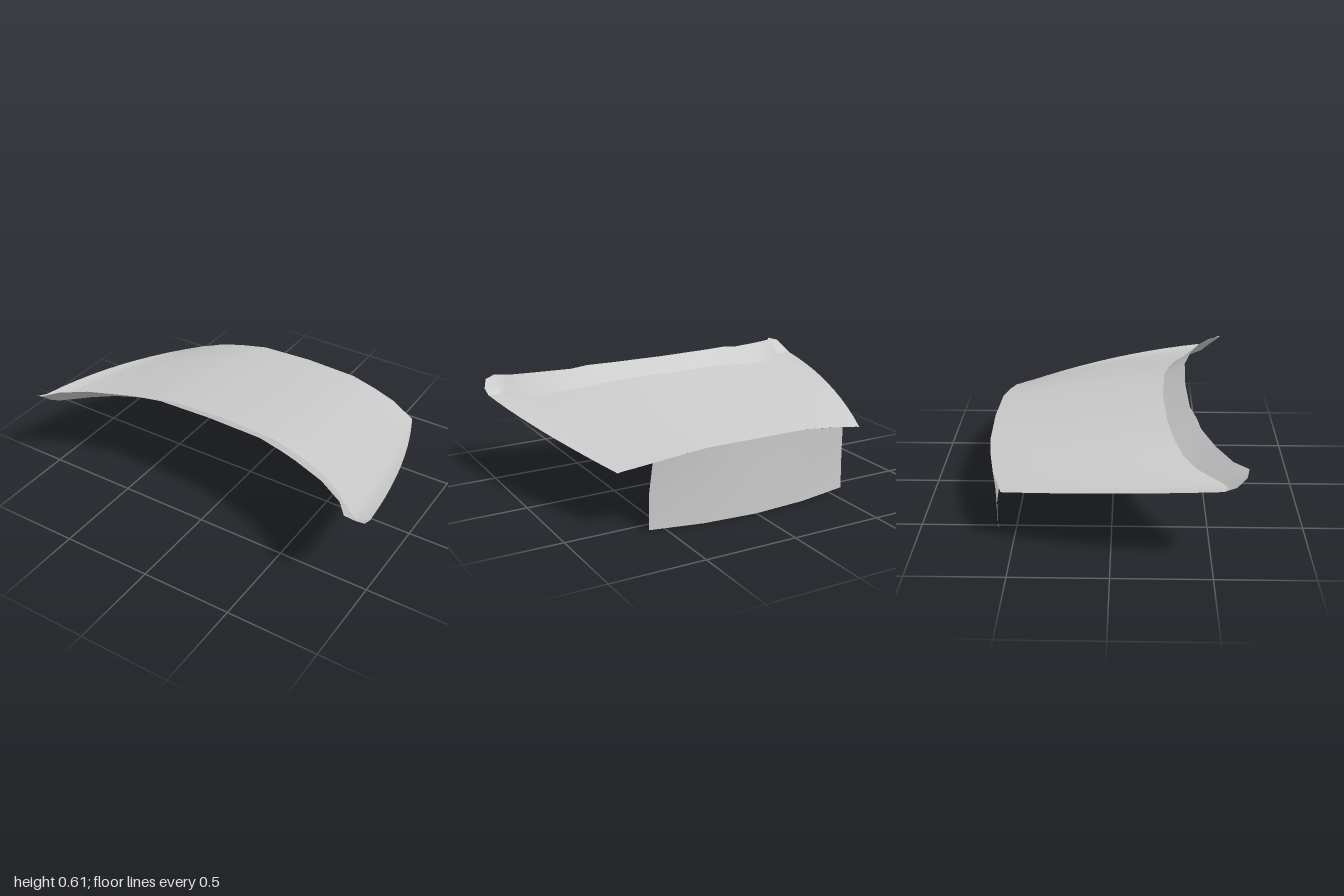
import * as THREE from 'three';

const V = (x, y, z) => new THREE.Vector3(x, y, z);

// Half-width stations from the centre line to the +x edge:
// rear edge, crease and lip edge of the deck
const stations = [
  { rear: V(0, 0.41, -0.655), crease: V(0, 0.535, 0.27), lip: V(0, 0.605, 0.39) },
  { rear: V(0.3, 0.405, -0.645), crease: V(0.32, 0.532, 0.285), lip: V(0.31, 0.605, 0.4) },
  { rear: V(0.45, 0.383, -0.625), crease: V(0.5, 0.51, 0.315), lip: V(0.45, 0.6, 0.43) },
  { rear: V(0.58, 0.36, -0.6), crease: V(0.65, 0.49, 0.355), lip: V(0.54, 0.587, 0.445) },
  { rear: V(0.655, 0.34, -0.572), crease: V(0.77, 0.476, 0.42), lip: V(0.72, 0.577, 0.505) },
  { rear: V(0.7, 0.33, -0.556), crease: V(0.905, 0.47, 0.535), lip: V(0.86, 0.563, 0.58) },
  { rear: V(0.715, 0.325, -0.55), crease: V(0.95, 0.47, 0.555), lip: V(0.92, 0.556, 0.65) },
  { rear: V(0.73, 0.32, -0.545), crease: V(1, 0.477, 0.53), lip: V(0.975, 0.54, 0.638) },
];

// Adds the mirrored half so the sections run from -x to +x
function mirror(half) {
  const other = half.slice(1).reverse().map((s) => s.map((p) => V(-p.x, p.y, p.z)));
  return [...other, ...half];
}

// Skins a list of cross-sections with an open, smooth sheet
function sheet(name, half, material) {
  const sections = mirror(half);
  const n = sections[0].length;
  const index = [];
  for (let j = 0; j < sections.length - 1; j++) {
    for (let i = 0; i < n - 1; i++) {
      const a = j * n + i, c = a + n;
      index.push(a, a + 1, c, a + 1, c + 1, c);
    }
  }
  const geometry = new THREE.BufferGeometry().setFromPoints(sections.flat());
  geometry.setIndex(index);
  geometry.computeVertexNormals();
  const mesh = new THREE.Mesh(geometry, material);
  mesh.name = name;
  return mesh;
}

export function createModel() {
  const group = new THREE.Group();
  group.name = 'deckLid';
  const material = new THREE.MeshStandardMaterial({ color: 0xcccccc, side: THREE.DoubleSide });

  // Main panel: straight along the middle, bowed outward toward the sides
  const rows = 10;
  const panel = stations.map(({ rear, crease }) => {
    const section = [];
    for (let i = 0; i <= rows; i++) {
      const t = i / rows;
      const bow = 4 * t * (1 - t) * (rear.x / 0.73) ** 3;
      const p = rear.clone().lerp(crease, t);
      section.push(p.add(V(0.045 * bow, 0.016 * bow, 0)));
    }
    return section;
  });
  group.add(sheet('topPanel', panel, material));

  // Upturned lip, rounded around the outer corners
  const lip = stations.map(({ crease, lip: edge }, j) => {
    const middle = crease.clone().lerp(edge, 0.5);
    if (j === stations.length - 1) middle.set(1, 0.5, 0.59);
    return [crease, middle, edge];
  });
  group.add(sheet('raisedLip', lip, material));

  // Apron hanging from the rear edge
  const apron = [
    [V(0, 0, -0.65), V(0, 0.2, -0.652), V(0, 0.41, -0.655)],
    [V(0.3, 0.002, -0.632), V(0.3, 0.2, -0.634), V(0.3, 0.405, -0.645)],
    [V(0.587, 0.008, -0.585), V(0.583, 0.2, -0.585), V(0.57, 0.362, -0.602)],
  ];
  group.add(sheet('rearApron', apron, material));

  return group;
}
